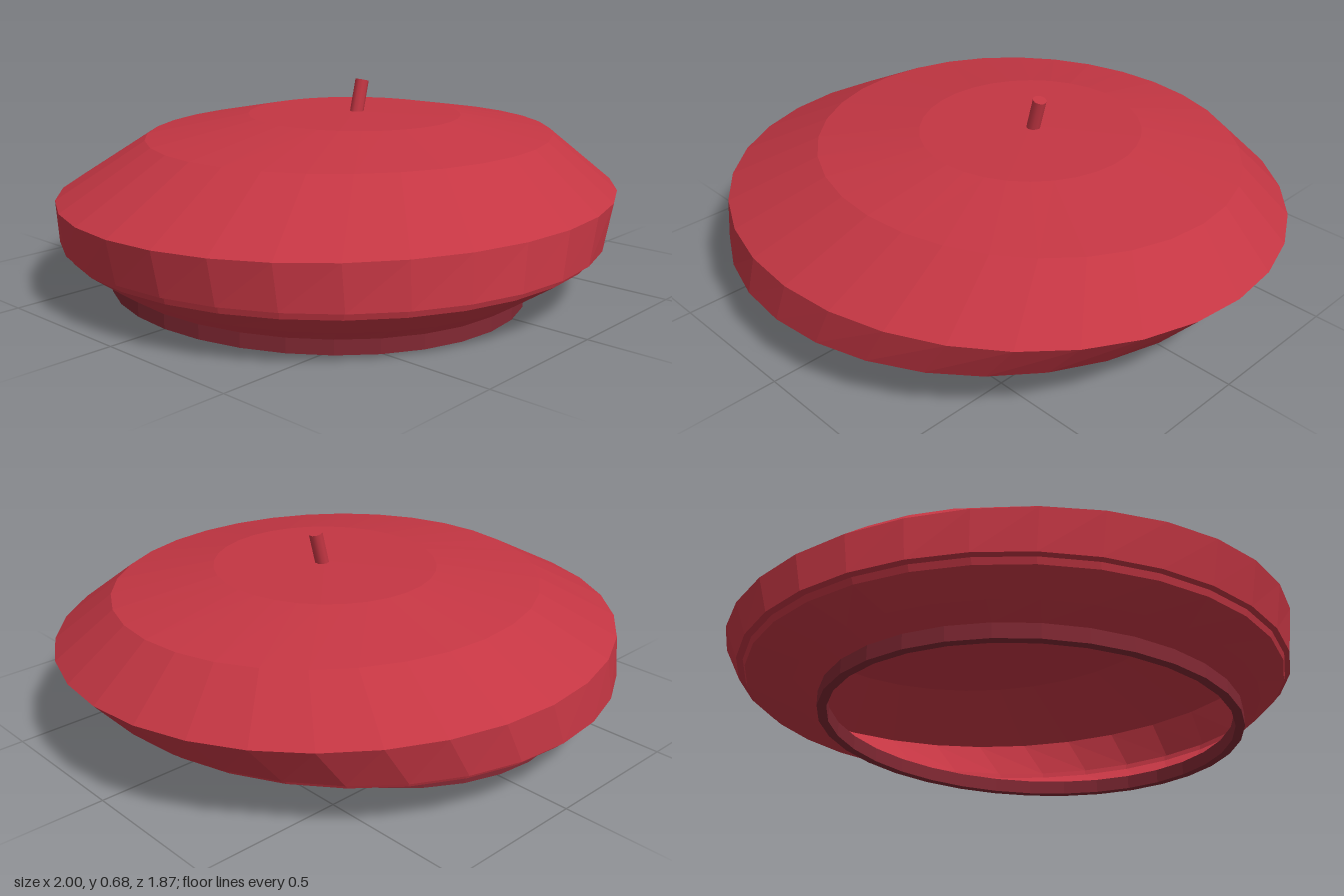
import * as THREE from 'three';

const SIDES = 32;

// Faceted skin through elliptical rings given as [y, centreX, centreZ, radiusX, radiusZ]
function loft(rings) {
  const pos = [];
  const point = ([y, cx, cz, rx, rz], i) => {
    const a = (i / SIDES) * Math.PI * 2;
    return [cx + rx * Math.cos(a), y, cz + rz * Math.sin(a)];
  };
  for (let r = 0; r < rings.length - 1; r++) {
    for (let i = 0; i < SIDES; i++) {
      const a = point(rings[r], i), b = point(rings[r], i + 1);
      const c = point(rings[r + 1], i + 1), d = point(rings[r + 1], i);
      pos.push(...a, ...d, ...b);
      if (rings[r + 1][3] > 0) pos.push(...b, ...d, ...c);
    }
  }
  const g = new THREE.BufferGeometry();
  g.setAttribute('position', new THREE.Float32BufferAttribute(pos, 3));
  g.computeVertexNormals();
  return g;
}

function makeMaterial(name, color) {
  const material = new THREE.MeshStandardMaterial({ color, side: THREE.DoubleSide });
  material.name = name;
  return material;
}

export function createModel() {
  const group = new THREE.Group();
  group.name = 'beret';
  const felt = makeMaterial('red felt', 0xc43643);
  const band = makeMaterial('dark red band', 0x822833);

  const add = (name, geometry, material) => {
    const mesh = new THREE.Mesh(geometry, material);
    mesh.name = name;
    group.add(mesh);
    return mesh;
  };

  // Headband: inner wall, bottom edge and outer wall
  add('headband', loft([
    [0.048, -0.139, 0, 0.63, 0.72],
    [0, -0.139, 0, 0.63, 0.72],
    [0, -0.139, 0, 0.661, 0.75],
    [0.048, -0.139, 0, 0.661, 0.75],
  ]), band);

  // Underside flaring out to a small step below the fold
  add('underside', loft([
    [0.048, -0.139, 0, 0.661, 0.75],
    [0.09, -0.12, 0, 0.74, 0.815],
    [0.155, -0.055, 0, 0.895, 0.91],
    [0.176, -0.053, 0, 0.902, 0.917],
    [0.181, -0.05, 0, 0.922, 0.937],
  ]), felt);

  // Lopsided crown closing at the top
  add('crown', loft([
    [0.181, -0.05, 0, 0.922, 0.937],
    [0.325, 0, 0, 1, 0.925],
    [0.497, 0.083, -0.03, 0.743, 0.69],
    [0.56, 0.1, -0.03, 0.37, 0.38],
    [0.565, 0.1, -0.03, 0, 0],
  ]), felt);

  // Leaning stalk
  const stalk = add('stalk', new THREE.CylinderGeometry(0.024, 0.024, 0.13, 10), felt);
  stalk.position.set(0.125, 0.61, -0.03);
  stalk.rotation.z = -0.25;

  return group;
}
